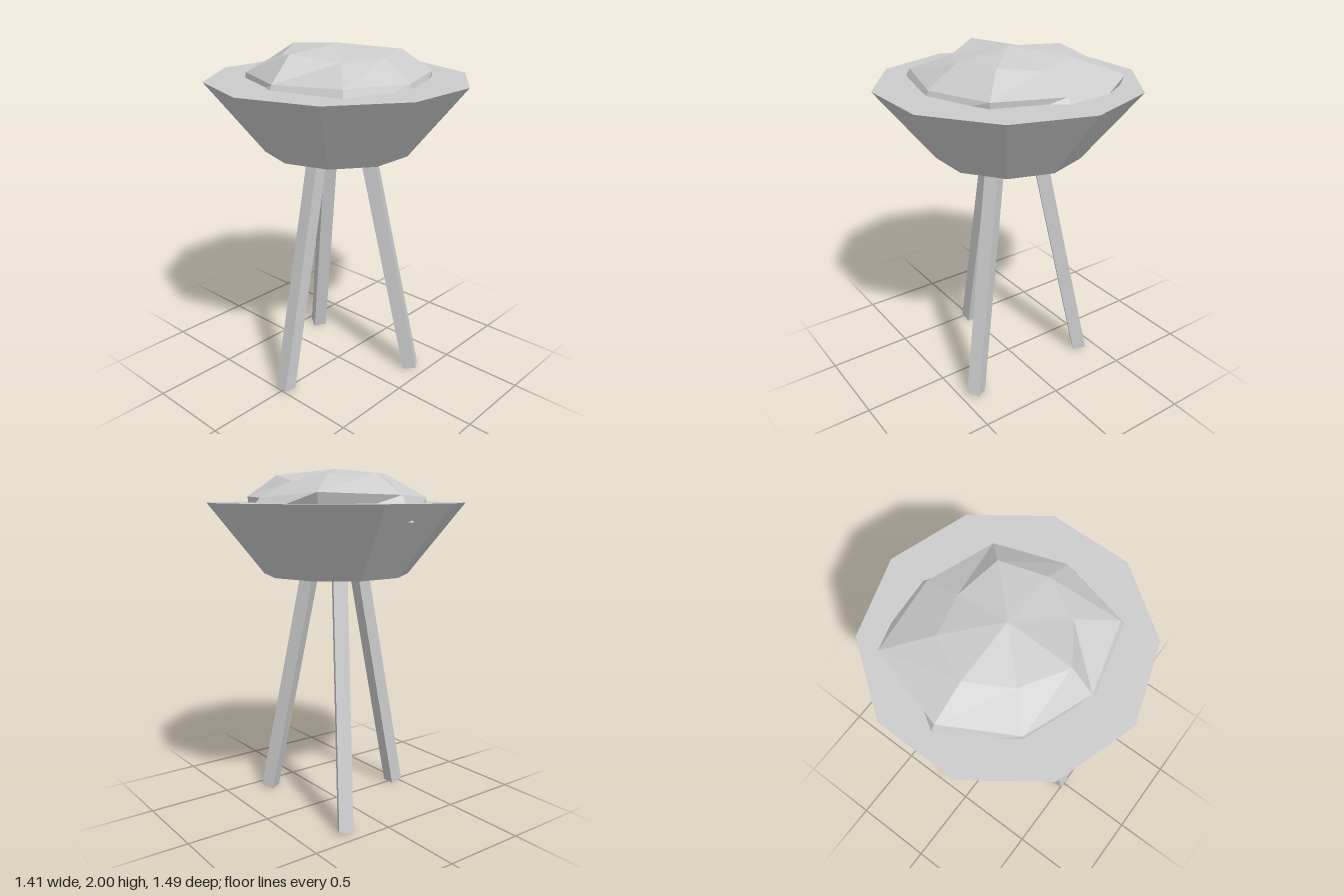
import * as THREE from 'three';

const stone = new THREE.MeshStandardMaterial({ color: 0xcccccc, flatShading: true });
stone.name = 'pale grey';

// Irregular faceted mound: rings of radii, each ring's height proportional to radius
function moundGeometry() {
  const n = 8, baseY = 1.72;
  const rings = [
    { k: 0.7, r: [0.33, 0.314, 0.367, 0.307, 0.355, 0.336, 0.30, 0.35] },
    { k: 0.24, r: [0.50, 0.555, 0.497, 0.51, 0.565, 0.625, 0.505, 0.523] },
    { k: 0, r: [0.54, 0.63, 0.56, 0.523, 0.65, 0.565, 0.62, 0.51] },
  ];
  const pos = [0, 2, 0], index = [];
  for (const { k, r } of rings) {
    r.forEach((rad, i) => {
      const a = (i / n) * Math.PI * 2;
      pos.push(rad * Math.cos(a), baseY + k * rad, rad * Math.sin(a));
    });
  }
  const at = (ring, i) => 1 + ring * n + (i % n);
  for (let i = 0; i < n; i++) {
    index.push(0, at(0, i + 1), at(0, i));
    for (let j = 0; j < rings.length - 1; j++) {
      index.push(at(j, i), at(j, i + 1), at(j + 1, i + 1));
      index.push(at(j, i), at(j + 1, i + 1), at(j + 1, i));
    }
  }
  const g = new THREE.BufferGeometry();
  g.setAttribute('position', new THREE.Float32BufferAttribute(pos, 3));
  g.setIndex(index);
  const flat = g.toNonIndexed();
  flat.computeVertexNormals();
  return flat;
}

export function createModel() {
  const model = new THREE.Group();
  model.name = 'tripodBrazier';

  // Ten-sided flared bowl, closed at the top
  const bowl = new THREE.Mesh(new THREE.CylinderGeometry(0.743, 0.42, 0.405, 10), stone);
  bowl.name = 'bowl';
  bowl.position.y = 1.61;
  model.add(bowl);

  // Lumpy heap resting in the bowl
  const mound = new THREE.Mesh(moundGeometry(), stone);
  mound.name = 'mound';
  model.add(mound);

  // Three square legs, splayed outward
  const length = 1.5;
  const legGeometry = new THREE.BoxGeometry(0.08, length, 0.08).translate(0, length / 2, 0);
  for (let i = 0; i < 3; i++) {
    const legGroup = new THREE.Group();
    legGroup.name = 'legGroup' + (i + 1);
    legGroup.rotation.y = (i * Math.PI * 2) / 3;
    const leg = new THREE.Mesh(legGeometry, stone);
    leg.name = 'leg' + (i + 1);
    leg.position.set(0, 0.009, 0.466);
    leg.rotation.x = -Math.atan(0.212);
    legGroup.add(leg);
    model.add(legGroup);
  }
  return model;
}
